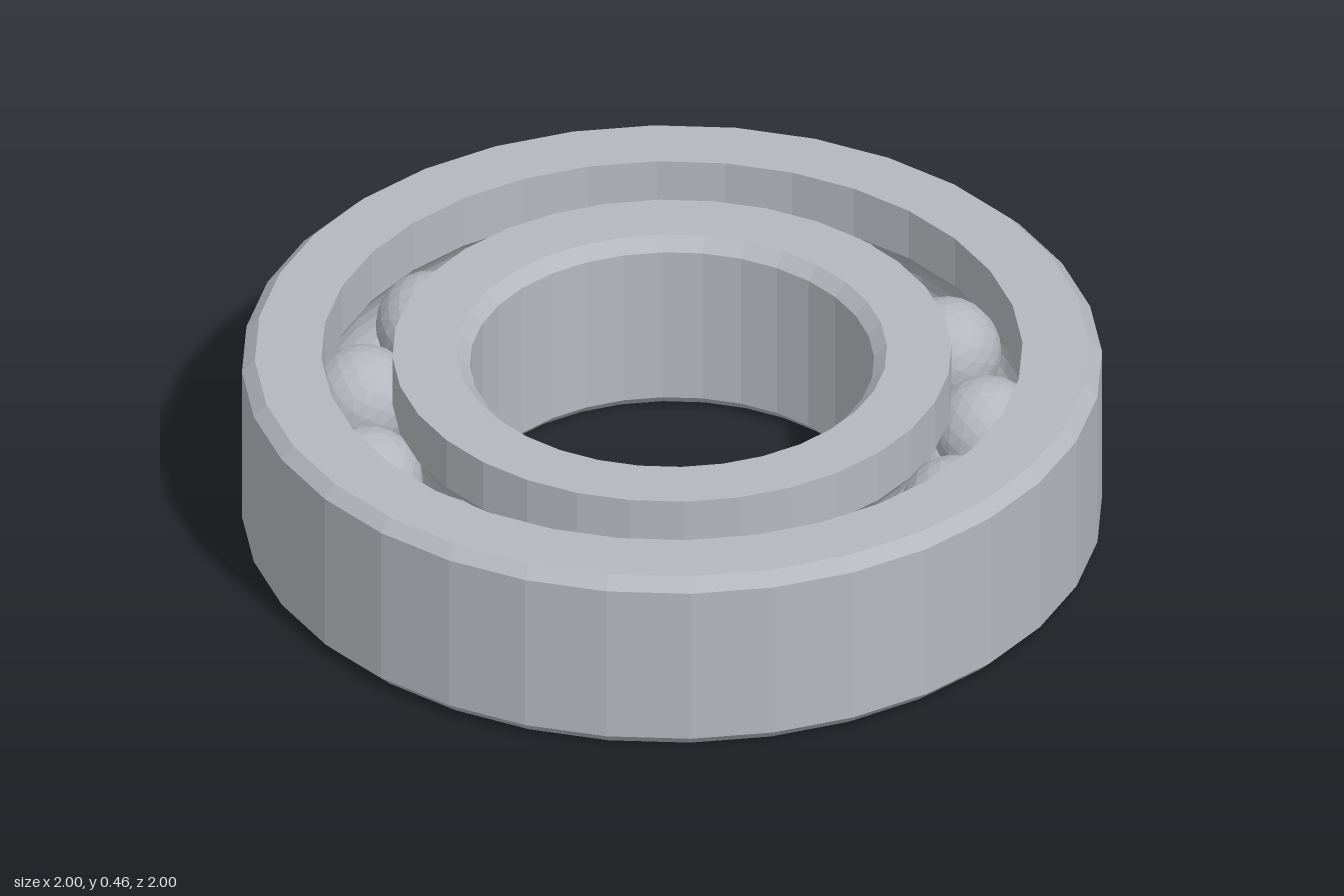
import * as THREE from 'three';

const SIDES = 32, HEIGHT = 0.46, MID = HEIGHT / 2, BEVEL = 0.03;
const PITCH = 0.732, BALL = 0.127, BALLS = 13;
const INNER_LAND = 0.65, OUTER_LAND = 0.815;

// Groove arc around the ball path, from angle a to angle b
function groove(a, b, steps = 8) {
  const r = BALL + 0.002;
  return Array.from({ length: steps + 1 }, (_, i) => {
    const t = a + (b - a) * i / steps;
    return [PITCH + r * Math.cos(t), MID + r * Math.sin(t)];
  });
}

// Flat facets for every surface
function faceted(geometry) {
  const flat = geometry.index ? geometry.toNonIndexed() : geometry;
  flat.computeVertexNormals();
  return flat;
}

export function createModel() {
  const group = new THREE.Group();
  group.name = 'ballBearing';
  const steel = new THREE.MeshStandardMaterial({ color: 0xb4b8be, flatShading: true });
  steel.name = 'steel';

  const add = (name, geometry) => {
    const mesh = new THREE.Mesh(geometry, steel);
    mesh.name = name;
    group.add(mesh);
    return mesh;
  };
  // Closed profile of [radius, height], running up the outside and down the inside
  const ring = (name, profile) => add(name, faceted(new THREE.LatheGeometry(
    [...profile, profile[0]].map(([r, y]) => new THREE.Vector2(r, y)), SIDES)));

  // Outer ring: bevelled outside, raceway inside
  const aOut = Math.acos((OUTER_LAND - PITCH) / (BALL + 0.002));
  ring('outerRing', [
    [OUTER_LAND, 0], [1 - BEVEL, 0], [1, BEVEL], [1, HEIGHT - BEVEL],
    [1 - BEVEL, HEIGHT], [OUTER_LAND, HEIGHT], ...groove(aOut, -aOut),
  ]);

  // Inner ring: raceway outside, bevelled bore
  const aIn = Math.acos((INNER_LAND - PITCH) / (BALL + 0.002));
  ring('innerRing', [
    [0.5, 0], [INNER_LAND, 0], ...groove(2 * Math.PI - aIn, aIn),
    [INNER_LAND, HEIGHT], [0.5, HEIGHT], [0.47, HEIGHT - BEVEL], [0.47, BEVEL],
  ]);

  // Balls evenly spaced in the raceway
  const ballGeometry = faceted(new THREE.IcosahedronGeometry(BALL, 3));
  for (let i = 0; i < BALLS; i++) {
    const a = i / BALLS * Math.PI * 2;
    const ball = add(`ball${i + 1}`, ballGeometry);
    ball.position.set(PITCH * Math.cos(a), MID, PITCH * Math.sin(a));
    ball.rotation.y = -a;
  }
  return group;
}
